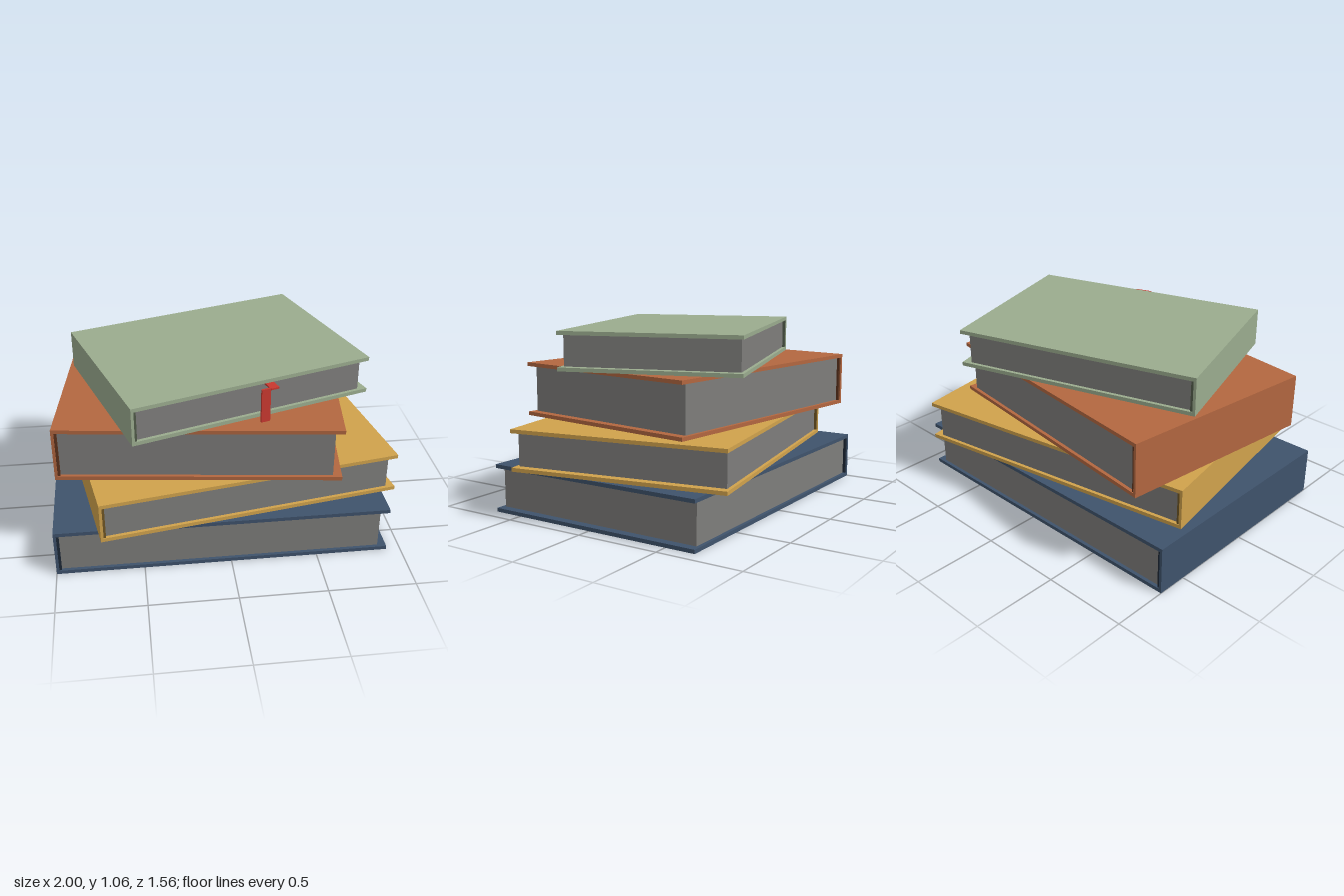
import * as THREE from 'three';

const COVER = 0.022; // board thickness
const SPINE = 0.016; // spine thickness
const HINGE = 0.014; // dark strip between spine and pages

// Hard case: a C-shaped profile (two boards and a spine at -x) extruded along z
function makeCase(w, h, d, color) {
  const x = w / 2, t = COVER;
  const profile = new THREE.Shape([
    [-x, 0], [x, 0], [x, t], [-x + SPINE, t],
    [-x + SPINE, h - t], [x, h - t], [x, h], [-x, h],
  ].map(([px, py]) => new THREE.Vector2(px, py)));
  const geometry = new THREE.ExtrudeGeometry(profile, { depth: d, bevelEnabled: false });
  geometry.translate(0, 0, -d / 2);
  const mesh = new THREE.Mesh(geometry, new THREE.MeshStandardMaterial({ color }));
  mesh.name = 'cover';
  return mesh;
}

function box(name, size, position, color) {
  const mesh = new THREE.Mesh(
    new THREE.BoxGeometry(...size),
    new THREE.MeshStandardMaterial({ color }),
  );
  mesh.name = name;
  mesh.position.set(...position);
  return mesh;
}

// One book lying flat, spine at -x, its pages set back from the board edges
function makeBook({ name, w, h, d, color }) {
  const book = new THREE.Group();
  book.name = name;
  const inner = h - 2 * COVER;
  const hingeLeft = -w / 2 + SPINE;
  const left = hingeLeft + HINGE, right = w / 2 - 0.05;
  const shade = new THREE.Color(color).multiplyScalar(0.25);
  book.add(
    makeCase(w, h, d, color),
    box('spineHinge', [HINGE, inner, d - 0.01], [hingeLeft + HINGE / 2, h / 2, 0], shade),
    box('pages', [right - left, inner, d - 0.04], [(left + right) / 2, h / 2, 0], 0x7e7d7b),
  );
  return book;
}

const BOOKS = [
  { name: 'bottomBook', w: 1.918, h: 0.282, d: 1.357, x: -0.041, z: 0, turn: 0, color: 0x3f536c },
  { name: 'secondBook', w: 1.759, h: 0.24, d: 1.278, x: 0.022, z: 0, turn: 10, color: 0xd0a24c },
  { name: 'thirdBook', w: 1.594, h: 0.318, d: 1.201, x: -0.105, z: 0, turn: -7, color: 0xb36740 },
  { name: 'topBook', w: 1.44, h: 0.222, d: 1.038, x: -0.01, z: -0.002, turn: 18, color: 0x9aab8e },
];

export function createModel() {
  const stack = new THREE.Group();
  stack.name = 'bookStack';

  let y = 0;
  let book;
  for (const spec of BOOKS) {
    book = makeBook(spec);
    book.position.set(spec.x, y, spec.z);
    book.rotation.y = THREE.MathUtils.degToRad(spec.turn);
    stack.add(book);
    y += spec.h;
  }

  // Ribbon bookmark on the top book: a hanging strip and a flat tab under the upper board
  const ribbon = new THREE.Group();
  ribbon.name = 'ribbonBookmark';
  ribbon.add(
    box('ribbonStrip', [0.054, 0.2, 0.012], [0.032, 0.1, 0.576], 0xc8382f),
    box('ribbonTab', [0.05, 0.01, 0.088], [0.083, 0.194, 0.54], 0xc8382f),
  );
  book.add(ribbon);

  return stack;
}
